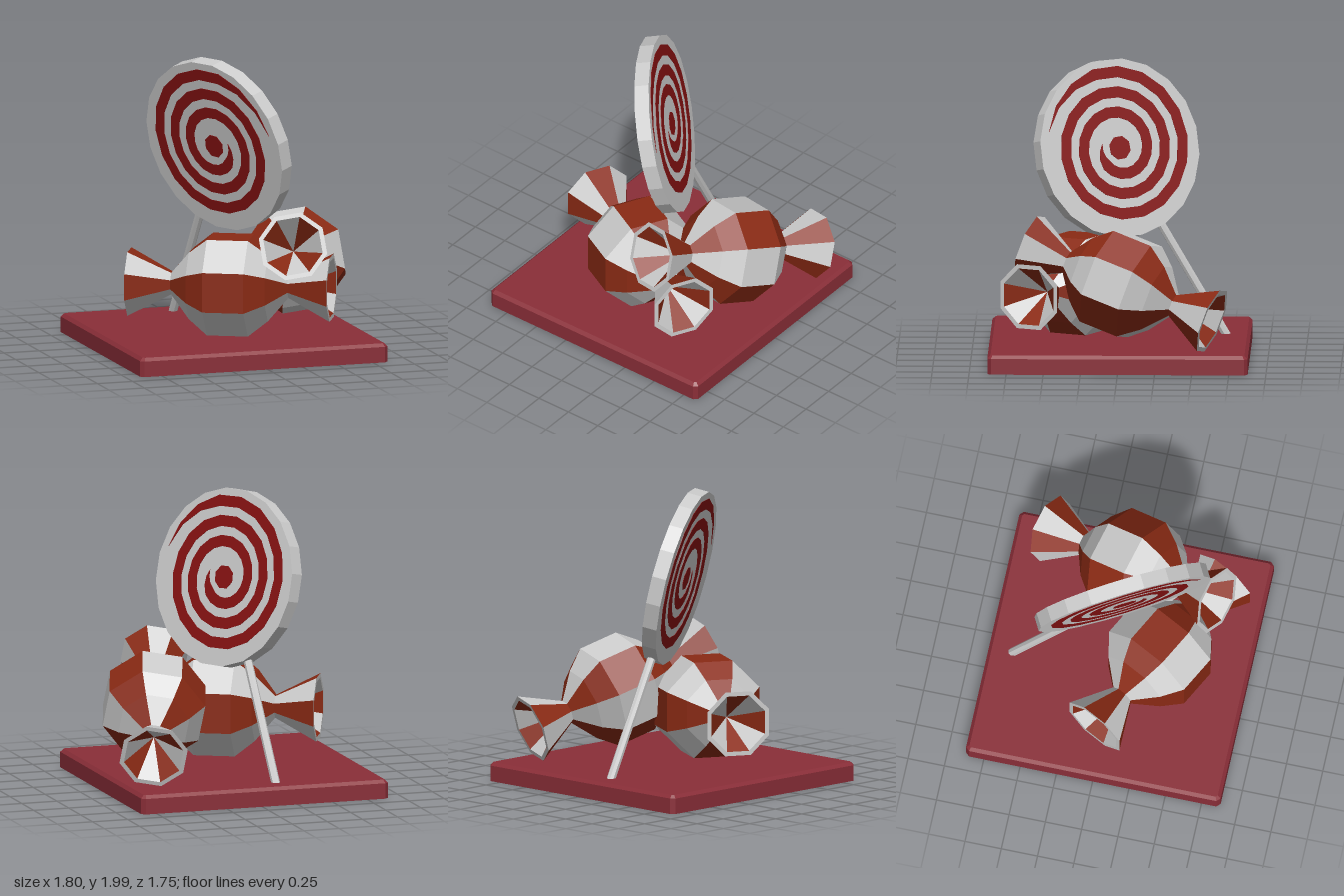
import * as THREE from 'three';
import { mergeGeometries } from 'three/addons/utils/BufferGeometryUtils.js';

const paint = (color) => new THREE.MeshStandardMaterial({ color, flatShading: true });
const GREY = paint(0xcccccc);
const CANDY_RED = paint(0x8a2a14);
const LOLLY_RED = paint(0x861212);
const BASE_RED = paint(0x8a2e38);

function add(parent, name, geometry, material) {
  const mesh = new THREE.Mesh(geometry, material);
  mesh.name = name;
  parent.add(mesh);
  return mesh;
}

// Square plinth with chamfered corners and a bevelled top edge
function makeBase() {
  const w = 0.877, c = 0.025, b = 0.022;
  const outline = [[w, c - w], [w, w - c], [w - c, w], [c - w, w], [-w, w - c], [-w, c - w], [c - w, -w], [w - c, -w]];
  const shape = new THREE.Shape(outline.map(([x, y]) => new THREE.Vector2(x, y)));
  const geo = new THREE.ExtrudeGeometry(shape, {
    depth: 0.106, bevelEnabled: true, bevelSegments: 1, bevelSize: b, bevelThickness: b, bevelOffset: -b,
  });
  geo.rotateX(-Math.PI / 2);
  // Flatten the lower bevel so the underside is plain
  const p = geo.attributes.position;
  for (let i = 0; i < p.count; i++) p.setY(i, Math.max(0, p.getY(i)));
  geo.computeVertexNormals();
  geo.translate(-0.022, 0, 0);
  return geo;
}

// Every other one of eight long stripes turned from a profile of [radius, height]
function stripes(profile, first, step = 2) {
  const pts = profile.map(([r, y]) => new THREE.Vector2(r, y));
  const parts = [];
  for (let k = first; k < 8; k += step) {
    parts.push(new THREE.LatheGeometry(pts, 1, (k + 0.5) * Math.PI / 4, Math.PI / 4));
  }
  return mergeGeometries(parts);
}

// Wrapped sweet: faceted body and a flared, hollow twist at each end
function makeCandy(name, center, direction, roll) {
  const candy = new THREE.Group();
  candy.name = name;
  const body = [[0.08, -0.4], [0.245, -0.27], [0.354, -0.14], [0.354, 0.14], [0.245, 0.27], [0.08, 0.4]];
  const outside = [[0.075, 0.39], [0.236, 0.69]];
  const rim = [[0.236, 0.69], [0.205, 0.69]];
  const inside = [[0.205, 0.69], [0.001, 0.43]];

  [['grey', GREY, 0], ['red', CANDY_RED, 1]].forEach(([tone, material, first]) => {
    add(candy, `${tone} body stripes`, stripes(body, first), material);
    for (const end of [0, 1]) {
      const geo = mergeGeometries([stripes(outside, first), stripes(inside, first)]);
      // A half turn about the stripe axis keeps the stripes aligned
      if (end) geo.rotateZ(Math.PI);
      add(candy, `${tone} twist stripes`, geo, material);
    }
  });
  for (const end of [0, 1]) {
    const geo = stripes(rim, 0, 1);
    if (end) geo.rotateZ(Math.PI);
    add(candy, 'twist rim', geo, GREY);
  }

  const a = direction.clone().normalize();
  const v = new THREE.Vector3(0, 1, 0).addScaledVector(a, -a.y).normalize();
  const w = new THREE.Vector3().crossVectors(v, a);
  candy.setRotationFromMatrix(new THREE.Matrix4().makeBasis(v, a, w));
  candy.rotateY(roll);
  candy.position.copy(center);
  return candy;
}

// Flat spiral band tapering to a point at both ends
function spiralShape() {
  const turns = 3, steps = 54, outer = [], inner = [];
  for (let i = 0; i <= steps; i++) {
    const t = (i / steps) * turns;
    const angle = 2.4 + t * Math.PI * 2;
    const r = 0.135 + 0.137 * t;
    const half = 0.038 * Math.min(1, i / 3, (steps - i) / 3);
    const dir = new THREE.Vector2(Math.cos(angle), Math.sin(angle));
    outer.push(dir.clone().multiplyScalar(r + half));
    if (i > 0 && i < steps) inner.unshift(dir.clone().multiplyScalar(r - half));
  }
  return new THREE.Shape([...outer, ...inner]);
}

// Leaning lollipop: disc, spiral showing on both faces, and stick
function makeLollipop() {
  const lolly = new THREE.Group();
  lolly.name = 'lollipop';
  const center = new THREE.Vector3(-0.065, 1.4, 0.025);
  const foot = new THREE.Vector3(-0.15, 0.11, -0.72);
  const up = center.clone().sub(foot);
  const length = up.length();
  up.normalize();
  const normal = new THREE.Vector3(0.85, 0.24, -0.47);
  normal.addScaledVector(up, -normal.dot(up)).normalize();
  const side = new THREE.Vector3().crossVectors(up, normal);

  const thick = 0.1;
  add(lolly, 'disc', new THREE.CylinderGeometry(0.605, 0.605, thick, 20).rotateX(Math.PI / 2), GREY);
  const band = new THREE.ExtrudeGeometry(spiralShape(), { depth: thick + 0.006, bevelEnabled: false });
  add(lolly, 'spiral', band.translate(0, 0, -thick / 2 - 0.003), LOLLY_RED);
  add(lolly, 'spiral centre', new THREE.CylinderGeometry(0.082, 0.082, thick + 0.006, 8).rotateX(Math.PI / 2), LOLLY_RED);
  const stickLength = length - 0.4;
  const stick = new THREE.CylinderGeometry(0.03, 0.03, stickLength, 8);
  add(lolly, 'stick', stick.translate(0, stickLength / 2 - length, 0), GREY);

  lolly.setRotationFromMatrix(new THREE.Matrix4().makeBasis(side, up, normal));
  lolly.position.copy(center);
  return lolly;
}

export function createModel() {
  const model = new THREE.Group();
  model.name = 'sweets on a plinth';
  add(model, 'base', makeBase(), BASE_RED);
  model.add(makeLollipop());
  model.add(makeCandy('lying candy', new THREE.Vector3(-0.07, 0.48, 0.285), new THREE.Vector3(0.887, 0, 0.462), 0));
  model.add(makeCandy('leaning candy', new THREE.Vector3(0.48, 0.562, -0.015), new THREE.Vector3(-0.308, 0.315, 0.898), 0.96));
  return model;
}
